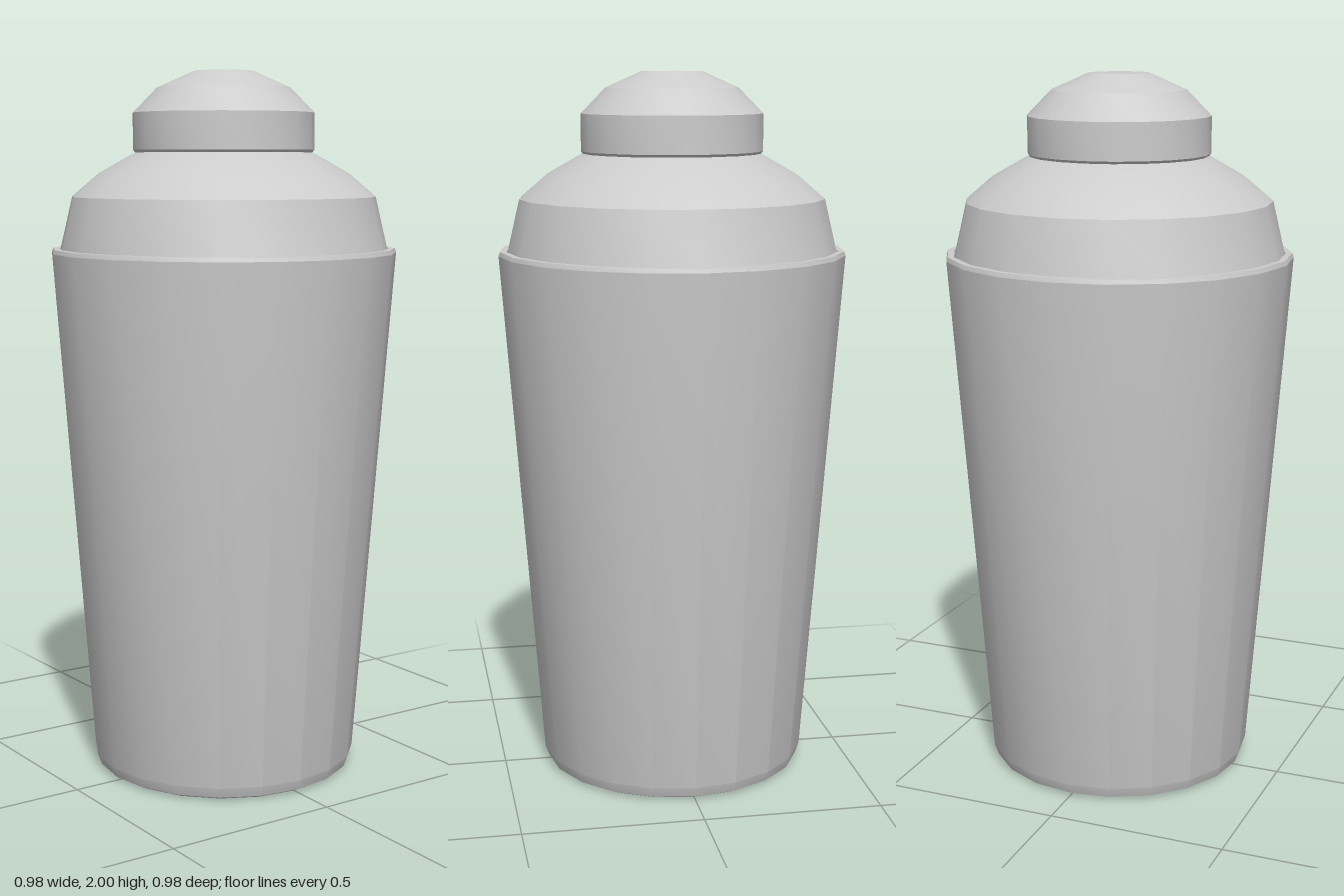
import * as THREE from 'three';
import { toCreasedNormals } from 'three/addons/utils/BufferGeometryUtils.js';

const SIDES = 20;

export function createModel() {
  const group = new THREE.Group();
  group.name = 'cocktailShaker';
  const material = new THREE.MeshStandardMaterial({ color: 0xcccccc });

  // Turn a [radius, height] profile, smooth around and creased between rings
  function turned(name, profile) {
    const points = profile.map(([r, y]) => new THREE.Vector2(r, y));
    const geometry = toCreasedNormals(new THREE.LatheGeometry(points, SIDES), THREE.MathUtils.degToRad(20));
    const mesh = new THREE.Mesh(geometry, material);
    mesh.name = name;
    group.add(mesh);
  }

  // Tapered cup with bevelled base and a thin rim
  turned('cup', [
    [0, 0], [0.35, 0], [0.37, 0.01], [0.381, 0.04],
    [0.49, 1.495], [0.486, 1.507], [0.468, 1.507], [0.46, 1.47],
  ]);

  // Domed strainer lid seated inside the rim, with a neck under the cap
  turned('strainerLid', [
    [0.46, 1.46], [0.466, 1.5], [0.43, 1.652], [0.355, 1.716],
    [0.26, 1.77], [0.235, 1.78], [0.235, 1.8],
  ]);

  // Small rounded cap
  turned('cap', [
    [0, 1.775], [0.25, 1.775], [0.256, 1.782], [0.256, 1.885],
    [0.187, 1.955], [0.085, 2], [0, 2],
  ]);

  return group;
}
